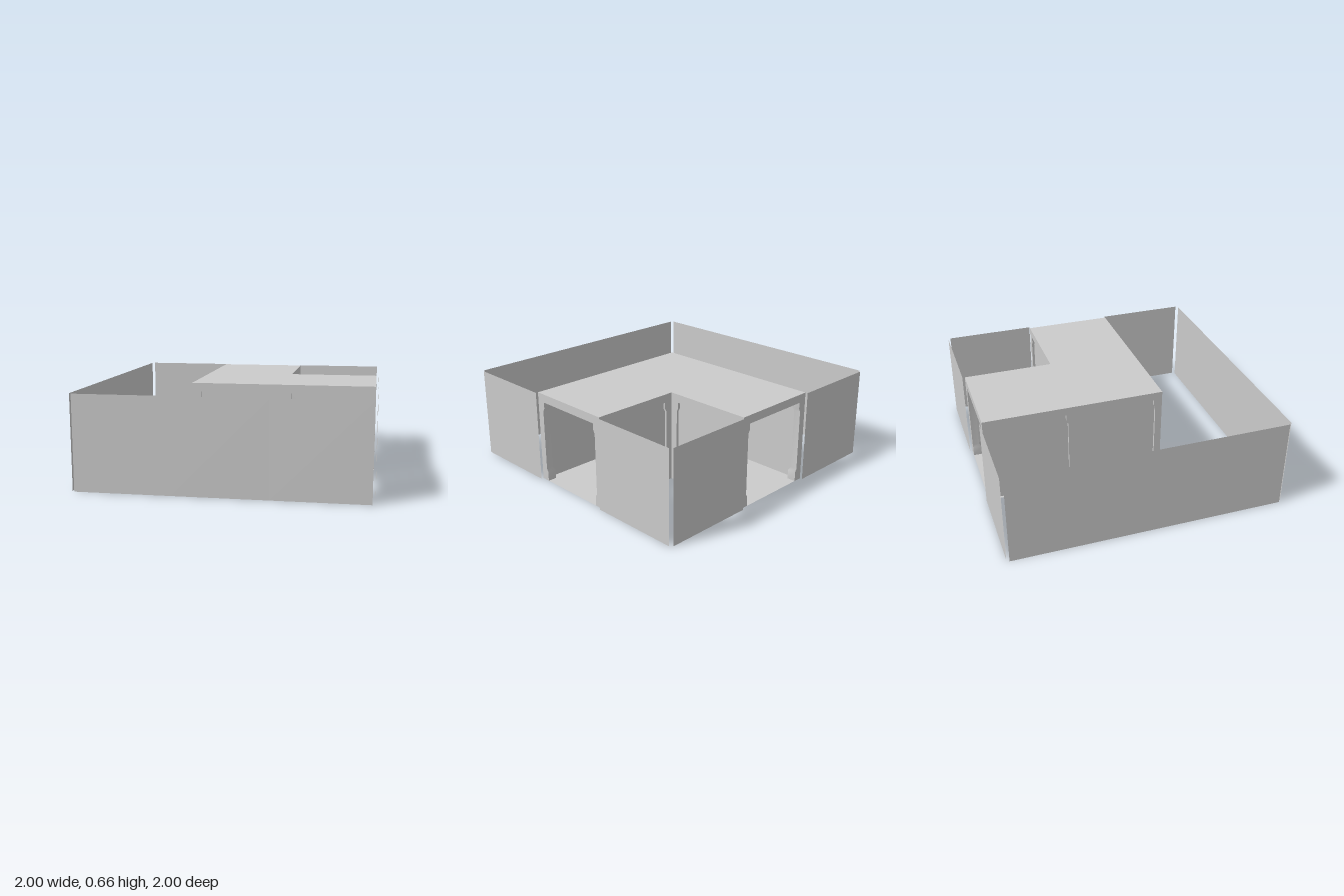
import * as THREE from 'three';

const CELL = 0.655, H = CELL / 2, TOP = 0.66, GAP = 0.018;
const solid = new THREE.MeshStandardMaterial({ color: 0xcccccc });
const sheet = new THREE.MeshStandardMaterial({ color: 0xcccccc, side: THREE.DoubleSide });

// Corner post: flush outside, flared inward at foot and head
function postGeometry() {
  const levels = [[0, 0.063], [0.07, 0.063], [0.09, 0.05], [0.53, 0.05], [0.555, 0.063], [TOP, 0.063]];
  const g = new THREE.BoxGeometry(1, 1, 1, 1, levels.length - 1, 1);
  const p = g.attributes.position;
  for (let i = 0; i < p.count; i++) {
    const [y, w] = levels[Math.round((p.getY(i) + 0.5) * (levels.length - 1))];
    p.setXYZ(i, H + (p.getX(i) - 0.5) * w, y, H + (p.getZ(i) - 0.5) * w);
  }
  g.computeVertexNormals();
  return g;
}

function addMesh(parent, name, geometry, material, x = 0, y = 0, z = 0) {
  const m = new THREE.Mesh(geometry, material);
  m.name = name;
  m.position.set(x, y, z);
  parent.add(m);
  return m;
}

export function createModel() {
  const model = new THREE.Group();
  model.name = 'cornerCorridor';

  const post = postGeometry();
  const beam = new THREE.BoxGeometry(CELL - 0.126, 0.06, 0.05);
  const slab = new THREE.PlaneGeometry(CELL, CELL).rotateX(-Math.PI / 2);
  const panel = new THREE.PlaneGeometry(CELL, TOP);

  const open = [[0, 0], [1, 0], [0, -1]];
  const isOpen = (i, k) => open.some(([a, b]) => a === i && b === k);

  for (let i = -1; i <= 1; i++) {
    for (let k = -1; k <= 1; k++) {
      const cell = new THREE.Group();
      cell.position.set(i * CELL, 0, k * CELL);
      model.add(cell);
      const corridor = isOpen(i, k);
      cell.name = corridor ? 'corridorCell' : 'solidCell';

      if (corridor) {
        addMesh(cell, 'floor', slab, sheet);
        addMesh(cell, 'roof', slab, sheet, 0, TOP, 0);
      }

      for (let s = 0; s < 4; s++) {
        const side = new THREE.Group();
        side.name = 'cellSide';
        side.rotation.y = s * Math.PI / 2;
        const dx = [0, 1, 0, -1][s], dz = [1, 0, -1, 0][s];
        const ni = i + dx, nk = k + dz;
        const outside = Math.abs(ni) > 1 || Math.abs(nk) > 1;
        if (corridor) {
          // Frame around each side of a corridor cell
          addMesh(side, 'post', post, solid);
          addMesh(side, 'beam', beam, solid, 0, TOP - 0.03, H - 0.025);
        } else if (outside || isOpen(ni, nk)) {
          // Wall sheet standing just off the solid cell
          addMesh(side, 'wallPanel', panel, sheet, 0, TOP / 2, H + GAP);
        }
        if (side.children.length) cell.add(side);
      }
    }
  }
  return model;
}
